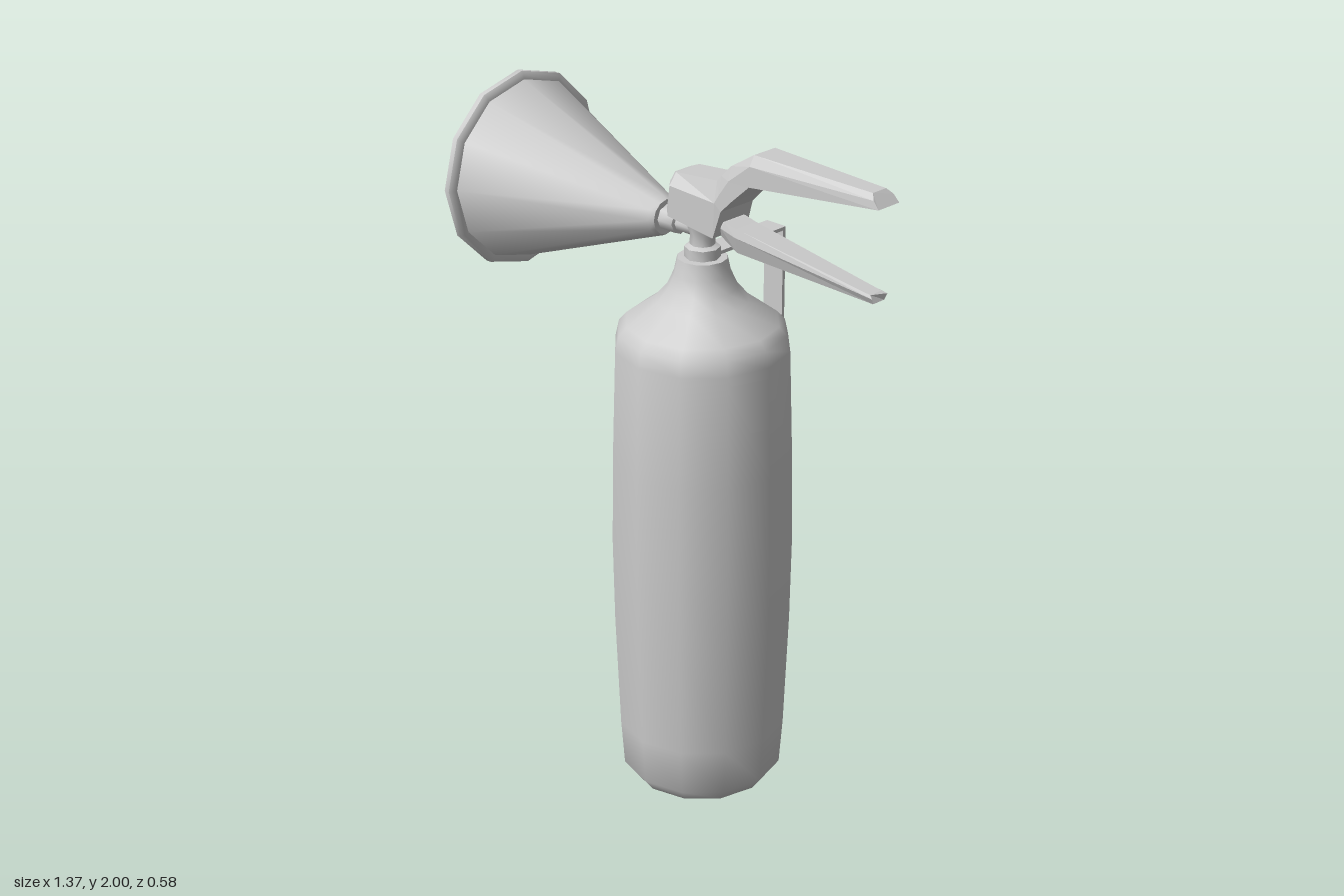
import * as THREE from 'three';
import { toCreasedNormals } from 'three/addons/utils/BufferGeometryUtils.js';

const smooth = new THREE.MeshStandardMaterial({ color: 0xcccccc });
const flat = new THREE.MeshStandardMaterial({ color: 0xcccccc, flatShading: true });
const AXIS_X = 0.04; // centre line of the cylinder
const HORN_Y = 1.713;

function mesh(name, geometry, material) {
  const m = new THREE.Mesh(geometry, material);
  m.name = name;
  return m;
}

// Turned part from [radius, height] pairs listed from bottom to top
function turned(name, profile, sides, crease = 0.75) {
  const points = profile.map(([r, y]) => new THREE.Vector2(r, y));
  return mesh(name, toCreasedNormals(new THREE.LatheGeometry(points, sides), crease), smooth);
}

// Lever lofted along x; each section is { t, m, b: [x, y], w: [top, middle, bottom half width] }
function lever(name, sections) {
  const pos = [];
  const rings = sections.map(({ t, m, b, w }) => [
    [...t, w[0]], [...m, w[1]], [...b, w[2]],
    [...b, -w[2]], [...m, -w[1]], [...t, -w[0]],
  ]);
  const tri = (a, b, c) => pos.push(...a, ...b, ...c);
  for (let s = 0; s < rings.length - 1; s++) {
    const p = rings[s], q = rings[s + 1];
    for (let i = 0; i < 6; i++) {
      const j = (i + 1) % 6;
      tri(p[i], p[j], q[j]);
      tri(p[i], q[j], q[i]);
    }
  }
  const first = rings[0], last = rings[rings.length - 1];
  for (let i = 1; i < 5; i++) {
    tri(first[0], first[i + 1], first[i]);
    tri(last[0], last[i], last[i + 1]);
  }
  const g = new THREE.BufferGeometry();
  g.setAttribute('position', new THREE.Float32BufferAttribute(pos, 3));
  g.computeVertexNormals();
  return mesh(name, g, flat);
}

export function createModel() {
  const model = new THREE.Group();
  model.name = 'fireExtinguisher';

  // Bulging tank with a shoulder and neck
  const tank = turned('tank', [
    [0, 0.012], [0.15, 0.01], [0.165, 0.004], [0.205, 0.02], [0.235, 0.06], [0.245, 0.2],
    [0.258, 0.55], [0.262, 0.8], [0.258, 1.05], [0.247, 1.38], [0.237, 1.425], [0.215, 1.45],
    [0.13, 1.512], [0.098, 1.55], [0.08, 1.59], [0.07, 1.635], [0, 1.637],
  ], 12, 1.0);
  tank.position.x = AXIS_X;
  model.add(tank);

  // Valve stem above the neck
  const valve = turned('valve', [
    [0, 1.63], [0.05, 1.63], [0.05, 1.665], [0.035, 1.672], [0.034, 1.70], [0.05, 1.75], [0, 1.75],
  ], 8, 0.9);
  valve.position.x = AXIS_X;
  model.add(valve);

  // Hollow discharge horn and its connector, turned about the x axis
  const horn = turned('horn', [
    [0, 0.095], [0.05, 0.095], [0.058, 0.11], [0.264, 0.658], [0.278, 0.66], [0.287, 0.667],
    [0.287, 0.684], [0.272, 0.69], [0.256, 0.688], [0.25, 0.665], [0.045, 0.12], [0, 0.12],
  ], 12);
  const connector = turned('hornConnector', [
    [0, -0.03], [0.026, -0.03], [0.026, 0.04], [0.036, 0.042], [0.036, 0.1], [0, 0.1],
  ], 8, 0.9);
  for (const part of [horn, connector]) {
    part.rotation.z = Math.PI / 2;
    part.position.y = HORN_Y;
    model.add(part);
  }

  // Valve housing running into the upper lever
  model.add(lever('upperLever', [
    { t: [-0.033, 1.866], m: [-0.038, 1.84], b: [-0.05, 1.757], w: [0.03, 0.045, 0.045] },
    { t: [-0.015, 1.872], m: [-0.015, 1.84], b: [-0.022, 1.752], w: [0.045, 0.07, 0.07] },
    { t: [0.135, 1.885], m: [0.145, 1.83], b: [0.14, 1.73], w: [0.045, 0.066, 0.066] },
    { t: [0.15, 1.902], m: [0.155, 1.85], b: [0.165, 1.81], w: [0.044, 0.062, 0.062] },
    { t: [0.185, 1.937], m: [0.19, 1.90], b: [0.2, 1.845], w: [0.043, 0.06, 0.06] },
    { t: [0.262, 1.985], m: [0.262, 1.957], b: [0.26, 1.9], w: [0.04, 0.057, 0.057] },
    { t: [0.65, 1.976], m: [0.664, 1.962], b: [0.682, 1.942], w: [0.025, 0.038, 0.04] },
  ]));

  // Fixed lower lever
  model.add(lever('lowerLever', [
    { t: [0.07, 1.775], m: [0.07, 1.76], b: [0.07, 1.742], w: [0.035, 0.042, 0.03] },
    { t: [0.16, 1.773], m: [0.15, 1.755], b: [0.14, 1.728], w: [0.04, 0.045, 0.032] },
    { t: [0.2, 1.765], m: [0.2, 1.742], b: [0.195, 1.695], w: [0.038, 0.044, 0.03] },
    { t: [0.65, 1.702], m: [0.663, 1.696], b: [0.66, 1.68], w: [0.022, 0.03, 0.022] },
  ]));

  // Flat wall hanger, bent down behind the tank
  const hanger = new THREE.Group();
  hanger.name = 'wallHanger';
  const arm = mesh('hangerArm', new THREE.BoxGeometry(0.07, 0.01, 0.295), flat);
  arm.position.set(AXIS_X, 1.645, -0.1475);
  const strap = mesh('hangerStrap', new THREE.BoxGeometry(0.07, 0.5, 0.01), flat);
  strap.position.set(AXIS_X, 1.395, -0.29);
  hanger.add(arm, strap);
  model.add(hanger);

  return model;
}
